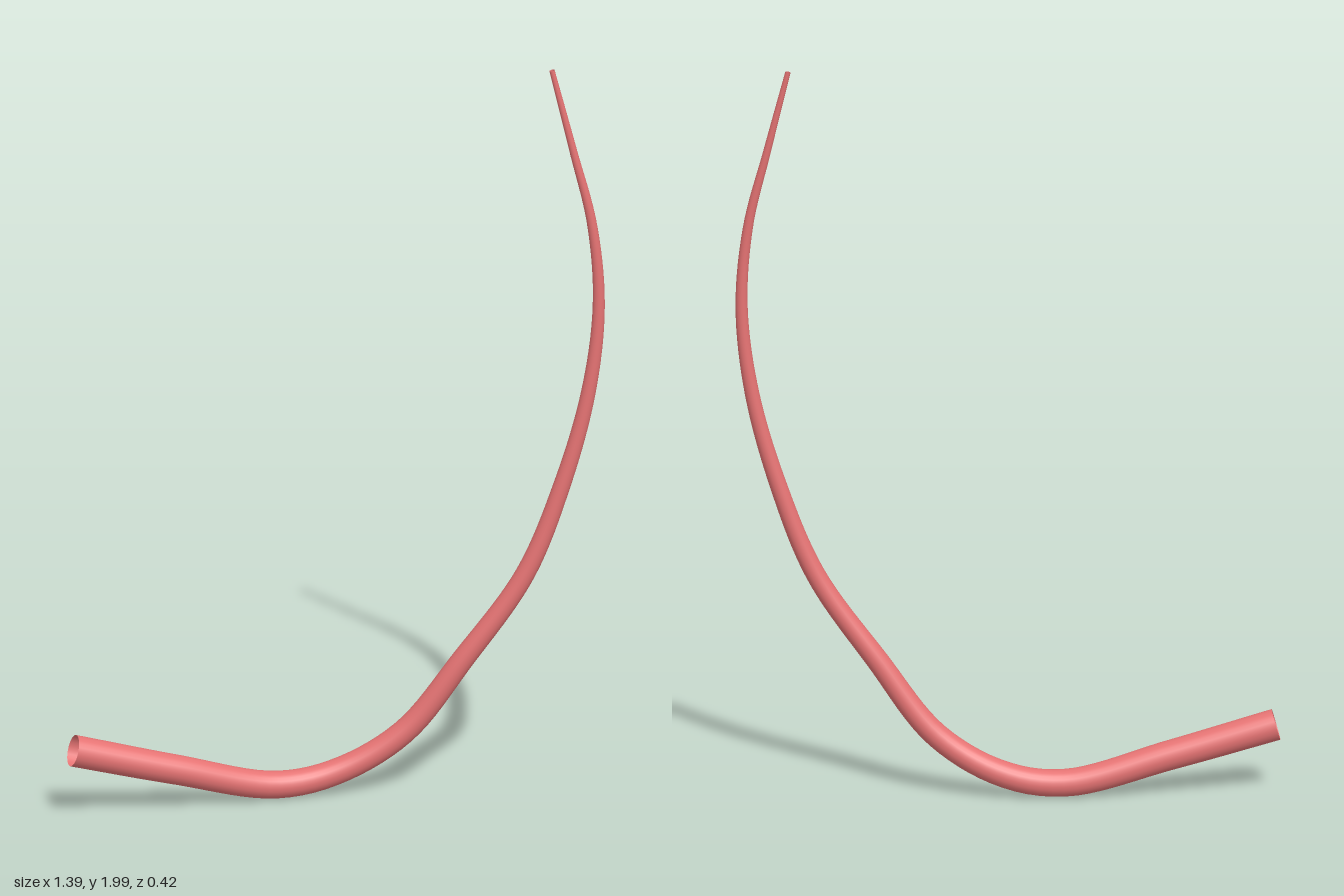
import * as THREE from 'three';

// Centre line from the thick open end to the thin tip
const path = [
  [-0.68, 0.19, 0.17], [-0.42, 0.112, 0.075], [-0.16, 0.042, -0.024], [0, 0.068, -0.073],
  [0.17, 0.17, -0.106], [0.325, 0.37, -0.128], [0.485, 0.6, -0.155], [0.58, 0.84, -0.175],
  [0.65, 1.1, -0.19], [0.677, 1.34, -0.196], [0.66, 1.565, -0.193], [0.61, 1.775, -0.187],
  [0.555, 1.998, -0.18],
].map((p) => new THREE.Vector3(...p));

const START_RADIUS = 0.042;
const TIP_RADIUS = 0.007;

// Tube whose rings shrink towards the end of the curve
function taperedTube(curve, segments, sides) {
  const geometry = new THREE.TubeGeometry(curve, segments, 1, sides, false);
  const pos = geometry.attributes.position;
  const v = new THREE.Vector3();
  for (let i = 0; i <= segments; i++) {
    const t = i / segments;
    const centre = curve.getPointAt(t);
    const radius = THREE.MathUtils.lerp(START_RADIUS, TIP_RADIUS, t ** 1.15);
    for (let j = 0; j <= sides; j++) {
      const k = i * (sides + 1) + j;
      v.fromBufferAttribute(pos, k).sub(centre).multiplyScalar(radius).add(centre);
      pos.setXYZ(k, v.x, v.y, v.z);
    }
  }
  return geometry;
}

export function createModel() {
  const group = new THREE.Group();
  group.name = 'curvedTail';
  const curve = new THREE.CatmullRomCurve3(path, false, 'centripetal');
  const material = new THREE.MeshStandardMaterial({ color: 0xe57373, side: THREE.DoubleSide });
  const tail = new THREE.Mesh(taperedTube(curve, 96, 24), material);
  tail.name = 'tail';
  group.add(tail);
  return group;
}
